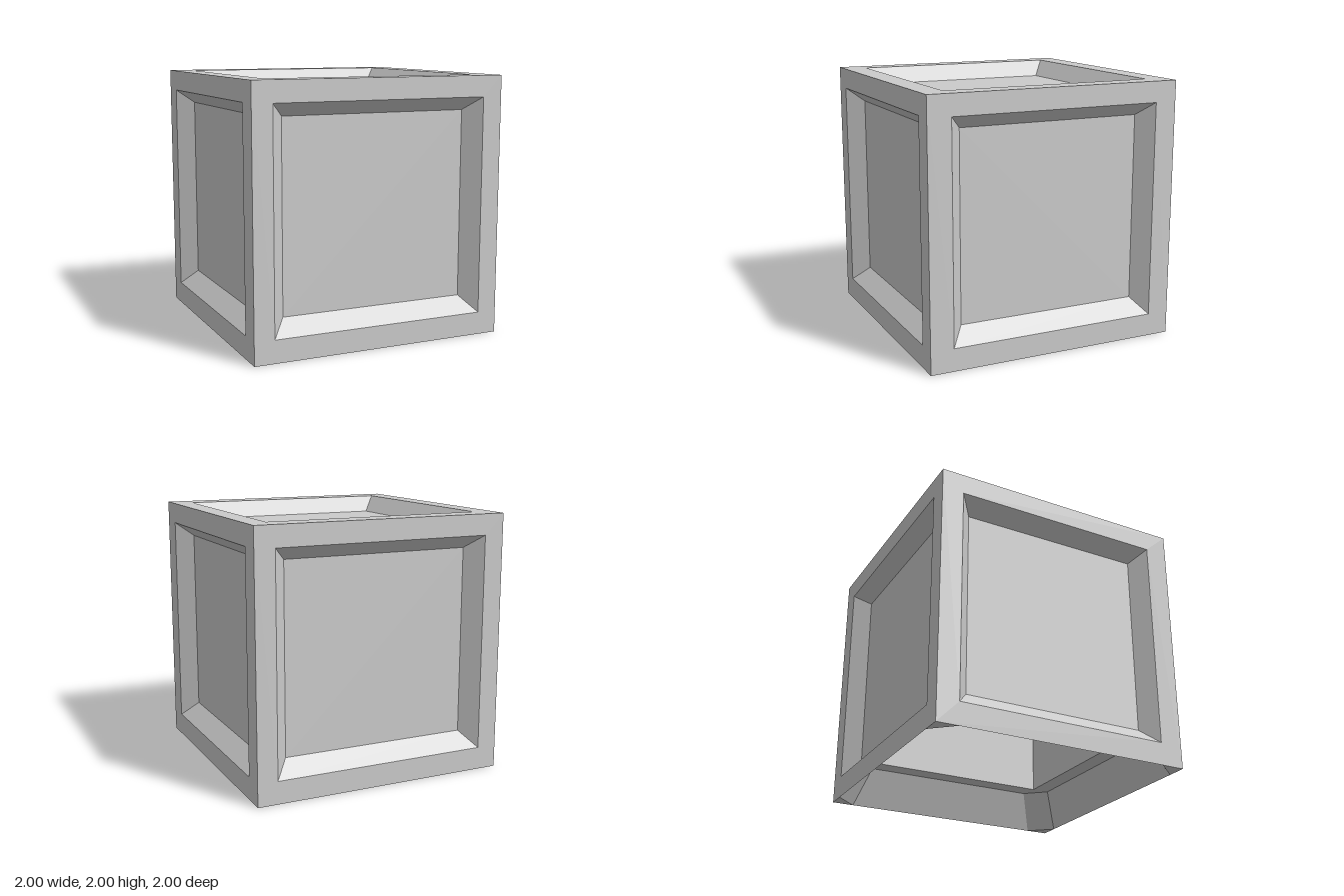
import * as THREE from 'three';

const material = new THREE.MeshStandardMaterial({ color: 0xcccccc, flatShading: true, side: THREE.DoubleSide });

// Extents along x, y, z of the body, the recess rims and the recess floors
const BODY = [[-1, 1], [0, 2], [-1, 1]];
const RIM = [[-0.845, 0.845], [0.175, 1.84], [-0.83, 0.82]];
const FLOOR = [[-0.733, 0.733], [0.295, 1.74], [-0.725, 0.712]];
const DEPTH = 0.125;

function makeMesh(name, triangles) {
  const points = [];
  for (const t of triangles) {
    const tri = new THREE.Triangle(...t);
    if (tri.getArea() > 1e-7) t.forEach((p) => points.push(p));
  }
  const geometry = new THREE.BufferGeometry().setFromPoints(points);
  geometry.computeVertexNormals();
  const mesh = new THREE.Mesh(geometry, material);
  mesh.name = name;
  return mesh;
}

// Band of faces between an outer loop and an inner loop of equal length
function band(outer, inner) {
  return outer.flatMap((a, i) => {
    const j = (i + 1) % outer.length;
    return [[a, outer[j], inner[j]], [a, inner[j], inner[i]]];
  });
}

// Flat cap over a convex loop
function cap(loop) {
  return loop.slice(2).map((p, i) => [loop[0], loop[i + 1], p]);
}

// Rectangle on one side of the body, counter-clockwise seen from outside
function sideLoop(axis, end, extents, depth) {
  const b = (axis + 1) % 3, c = (axis + 2) % 3;
  const loop = [[0, 0], [1, 0], [1, 1], [0, 1]].map(([i, j]) => {
    const p = new THREE.Vector3();
    p.setComponent(axis, BODY[axis][end] + (end ? -depth : depth));
    p.setComponent(b, extents[b][i]);
    p.setComponent(c, extents[c][j]);
    return p;
  });
  return end ? loop : loop.reverse();
}

// Horizontal eight-point loop, two points on each of four sides, seen from below
function underLoop(y, half, x, z) {
  return [
    [x[0], half], [x[1], half], [half, z[1]], [half, z[0]],
    [x[1], -half], [x[0], -half], [-half, z[0]], [-half, z[1]],
  ].map(([px, pz]) => new THREE.Vector3(px, y, pz)).reverse();
}

export function createModel() {
  const group = new THREE.Group();

  // Four walls and the top, each a frame with a bevelled, recessed panel
  const sides = [['front', 2, 1], ['back', 2, 0], ['left', 0, 1], ['right', 0, 0], ['top', 1, 1]];
  for (const [name, axis, end] of sides) {
    const edge = sideLoop(axis, end, BODY, 0);
    const rim = sideLoop(axis, end, RIM, 0);
    const floor = sideLoop(axis, end, FLOOR, DEPTH);
    const side = new THREE.Group();
    side.name = name + 'Side';
    side.add(
      makeMesh(name + 'Frame', band(edge, rim)),
      makeMesh(name + 'Bevel', band(rim, floor)),
      makeMesh(name + 'Panel', cap(floor)),
    );
    group.add(side);
  }

  // Open underside: corner feet, sloping skirt, ledge, inner walls and ceiling
  const ledgeY = FLOOR[1][0], ceilingY = FLOOR[1][1] - 0.01, inner = 0.733;
  const square = [-inner, inner];
  const outline = underLoop(0, 1, BODY[0], BODY[2]);
  const feet = underLoop(0, 1, RIM[0], RIM[2]);
  const ledge = underLoop(ledgeY, 1 - DEPTH, FLOOR[0], FLOOR[2]);
  const mouth = underLoop(ledgeY, inner, square, square);
  const ceiling = underLoop(ceilingY, inner, square, square);
  group.add(
    makeMesh('cornerFeet', band(outline, feet)),
    makeMesh('innerSkirt', band(feet, ledge)),
    makeMesh('innerLedge', band(ledge, mouth)),
    makeMesh('innerWalls', band(mouth, ceiling)),
    makeMesh('innerCeiling', cap(ceiling)),
  );
  return group;
}
